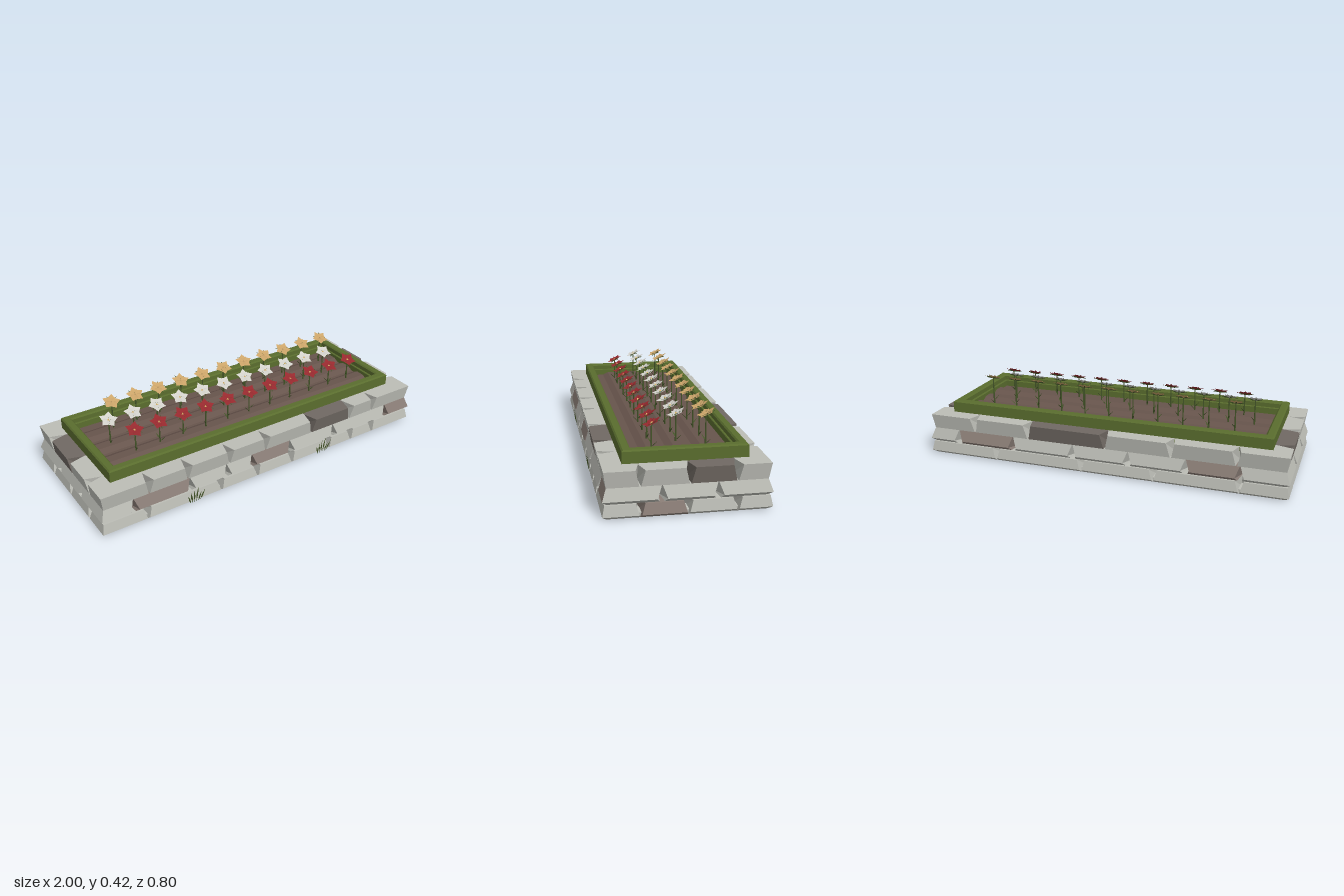
import * as THREE from 'three';

const mat = (name, color, side = THREE.FrontSide) =>
  Object.assign(new THREE.MeshStandardMaterial({ color, side }), { name });

// Flat-shaded geometry from a list of triangles (each corner a Vector3)
function fromTriangles(corners) {
  const geo = new THREE.BufferGeometry().setFromPoints(corners);
  geo.computeVertexNormals();
  return geo;
}

// Stone courses: cross-section rows of [offset from outer face, height, joint gap at each end]
const COURSES = [
  [[-0.12, 0, 0], [-0.022, 0, 0], [0, 0.017, 0.006], [-0.011, 0.07, 0.022], [-0.12, 0.07, 0]],
  [[-0.12, 0.07, 0], [-0.022, 0.07, 0.012], [0, 0.089, 0.024], [-0.02, 0.148, 0.002], [-0.12, 0.148, 0]],
  [[-0.12, 0.148, 0], [-0.02, 0.148, 0.004], [-0.008, 0.228, 0.023], [-0.09, 0.228, 0], [-0.12, 0.228, 0]],
];

// One stone of a wall; ends that reach a wall corner are mitred
function stoneGeometry(profile, a, b, half, depth) {
  const ring = (u, end) => profile.map(([d, y, gap]) => new THREE.Vector3(
    Math.abs(u) >= half ? Math.sign(u) * (half + d) : u - end * gap, y, depth + d));
  const A = ring(a, -1), B = ring(b, 1), out = [], n = profile.length;
  for (let k = 0; k < n; k++) {
    const m = (k + 1) % n;
    out.push(A[k], B[k], B[m], A[k], B[m], A[m]);
    if (k > 0 && k < n - 1) out.push(A[0], A[k], A[m], B[0], B[m], B[k]);
  }
  return fromTriangles(out);
}

// Each wall: turn about y, half length, distance from centre, joints and coloured stones per course
const WALLS = [
  { name: 'frontWall', turn: 0, half: 1, depth: 0.395, rows: [
    { joints: [-0.75, -0.32, -0.09, 0.14, 0.4, 0.56, 0.72] },
    { joints: [-0.82, -0.5, -0.28, -0.12, 0.13, 0.43, 0.82], taupe: [1, 4, 7] },
    { joints: [-0.73, -0.51, -0.26, -0.03, 0.28, 0.55, 0.72], dark: [5] }] },
  { name: 'rightWall', turn: 1, half: 0.395, depth: 1, rows: [
    { joints: [-0.22, 0, 0.23], taupe: [1] },
    { joints: [-0.12, 0.14] },
    { joints: [-0.22, 0.01, 0.23], dark: [2] }] },
  { name: 'backWall', turn: 2, half: 1, depth: 0.395, rows: [
    { joints: [-0.6, -0.1, 0.3, 0.75] },
    { joints: [-0.83, -0.5, -0.15, 0.16, 0.47, 0.75], taupe: [1, 5] },
    { joints: [-0.73, -0.41, 0.03, 0.39, 0.73], dark: [2] }] },
  { name: 'leftWall', turn: 3, half: 0.395, depth: 1, rows: [
    { joints: [-0.22, 0, 0.23] },
    { joints: [-0.13, 0.13] },
    { joints: [-0.23, 0.01, 0.22], dark: [1] }] },
];

// Rectangular frame with softened edges, lying flat from y0 to y1
function frameGeometry(hx, hz, width, y0, y1, bevel) {
  const rect = (T, x, z) => new T([[-x, -z], [x, -z], [x, z], [-x, z]].map(p => new THREE.Vector2(...p)));
  const shape = rect(THREE.Shape, hx, hz);
  shape.holes.push(rect(THREE.Path, hx - width, hz - width));
  const geo = new THREE.ExtrudeGeometry(shape, {
    depth: y1 - y0 - 2 * bevel, bevelEnabled: true, bevelSegments: 1,
    bevelSize: bevel, bevelThickness: bevel, bevelOffset: -bevel,
  });
  return geo.rotateX(-Math.PI / 2).translate(0, y0 + bevel, 0);
}

// Five-pointed star with a sunken or raised centre and creased points
function starGeometry(outer, inner, centreY, tipY, spin) {
  const pts = [], out = [];
  for (let i = 0; i < 10; i++) {
    const r = i % 2 ? inner : outer, t = spin + i * Math.PI / 5;
    pts.push(new THREE.Vector3(Math.sin(t) * r, i % 2 ? 0 : tipY, Math.cos(t) * r));
  }
  const centre = new THREE.Vector3(0, centreY, 0);
  pts.forEach((p, i) => out.push(centre, p, pts[(i + 1) % 10]));
  return fromTriangles(out);
}

// Narrow folded blade from the origin, leaning outward along +z
function bladeGeometry(height, lean, width) {
  const V = (x, y, z) => new THREE.Vector3(x, y, z);
  const base = V(0, 0, 0), tip = V(0, height, lean);
  const l = V(-width, height * 0.45, lean * 0.35), r = V(width, height * 0.45, lean * 0.35);
  const fold = V(0, height * 0.42, lean * 0.5);
  return fromTriangles([base, fold, l, l, fold, tip, base, r, fold, r, tip, fold]);
}

export function createModel() {
  const model = new THREE.Group();
  const stone = mat('pale stone', 0xbcbdb6), taupe = mat('taupe stone', 0x8c7f78);
  const dark = mat('dark stone', 0x706963), hedge = mat('hedge green', 0x5a6d2e);
  const soil = mat('soil brown', 0x67544c), stem = mat('stem green', 0x46582a, THREE.DoubleSide);
  const red = mat('red petals', 0x96292e, THREE.DoubleSide);
  const white = mat('white petals', 0xd2d1ca, THREE.DoubleSide);
  const tan = mat('tan petals', 0xcba469, THREE.DoubleSide);
  const pollen = mat('flower centre', 0xdcb86c);

  const add = (parent, name, geo, material, x = 0, y = 0, z = 0) => {
    const mesh = new THREE.Mesh(geo, material);
    mesh.name = name;
    mesh.position.set(x, y, z);
    parent.add(mesh);
    return mesh;
  };

  // Stone walls
  for (const { name, turn, half, depth, rows } of WALLS) {
    const wall = new THREE.Group();
    wall.name = name;
    wall.rotation.y = turn * Math.PI / 2;
    rows.forEach((row, c) => {
      const ends = [-half, ...row.joints, half];
      for (let i = 0; i < ends.length - 1; i++) {
        const material = row.taupe?.includes(i) ? taupe : row.dark?.includes(i) ? dark : stone;
        add(wall, 'stone', stoneGeometry(COURSES[c], ends[i], ends[i + 1], half, depth), material);
      }
    });
    model.add(wall);
  }
  add(model, 'base', new THREE.BoxGeometry(1.94, 0.02, 0.73), stone, 0, 0.01, 0);

  // Green border with a lower inner lip
  add(model, 'border', frameGeometry(0.897, 0.298, 0.045, 0.2, 0.292, 0.007), hedge, 0, 0, -0.006);
  add(model, 'innerLip', frameGeometry(0.855, 0.256, 0.014, 0.2, 0.262, 0.003), hedge, 0, 0, -0.006);

  // Soil bed with three planting ridges
  const bed = new THREE.Shape();
  bed.moveTo(-0.25, 0.2);
  bed.lineTo(-0.25, 0.226);
  for (const z of [-0.132, 0, 0.132]) {
    bed.lineTo(z - 0.058, 0.226);
    bed.lineTo(z - 0.025, 0.242);
    bed.lineTo(z + 0.025, 0.242);
    bed.lineTo(z + 0.058, 0.226);
  }
  bed.lineTo(0.25, 0.226);
  bed.lineTo(0.25, 0.2);
  const bedGeo = new THREE.ExtrudeGeometry(bed, { depth: 1.7, bevelEnabled: false });
  add(model, 'soil', bedGeo.translate(0, 0, -0.85).rotateY(Math.PI / 2), soil, 0, 0, -0.006);

  // Three rows of flowers, heads tilted toward the front
  const petals = starGeometry(0.05, 0.032, -0.007, 0.004, 0);
  const innerPetals = starGeometry(0.032, 0.02, -0.002, 0.008, Math.PI / 5);
  const sepals = starGeometry(0.047, 0.012, -0.008, -0.003, Math.PI / 5);
  const centre = new THREE.ConeGeometry(0.009, 0.007, 3).toNonIndexed();
  centre.computeVertexNormals();
  const leaf = bladeGeometry(0.03, 0.028, 0.005);
  const ROWS = [
    { name: 'redFlower', x: -0.67, z: 0.127, y: 0.367, material: red },
    { name: 'whiteFlower', x: -0.75, z: -0.006, y: 0.384, material: white },
    { name: 'tanFlower', x: -0.67, z: -0.136, y: 0.4, material: tan },
  ];
  for (const { name, x, z, y, material } of ROWS) {
    for (let i = 0; i < 11; i++) {
      const flower = new THREE.Group();
      flower.name = name;
      flower.position.set(x + i * 0.14, 0, z);
      const height = y - 0.238;
      add(flower, 'stem', new THREE.CylinderGeometry(0.003, 0.0045, height, 5), stem, 0, 0.236 + height / 2, 0);
      for (let k = 0; k < 2; k++)
        add(flower, 'leaf', leaf, stem, 0, 0.245 + k * 0.015, 0).rotation.y = i * 0.9 + k * 2.6;
      const head = new THREE.Group();
      head.name = 'flowerHead';
      head.position.y = y;
      head.rotation.set(0.43, ((i * 37) % 11) * 0.09 + 0.2, 0, 'XYZ');
      add(head, 'sepals', sepals, stem);
      add(head, 'petals', petals, material);
      add(head, 'innerPetals', innerPetals, material);
      add(head, 'centre', centre, material === tan ? tan : pollen, 0, 0.002, 0);
      flower.add(head);
      model.add(flower);
    }
  }

  // Grass tufts at the foot of the front wall
  for (const x of [-0.48, 0.35]) {
    const tuft = new THREE.Group();
    tuft.name = 'grassTuft';
    tuft.position.set(x, 0, 0.392);
    for (let i = 0; i < 6; i++) {
      const blade = bladeGeometry(0.065 + ((i * 5) % 4) * 0.012, 0.012, 0.005);
      const mesh = add(tuft, 'blade', blade, stem, (i - 2.5) * 0.011, 0, 0);
      mesh.rotation.z = (2.5 - i) * 0.13;
    }
    model.add(tuft);
  }
  return model;
}
